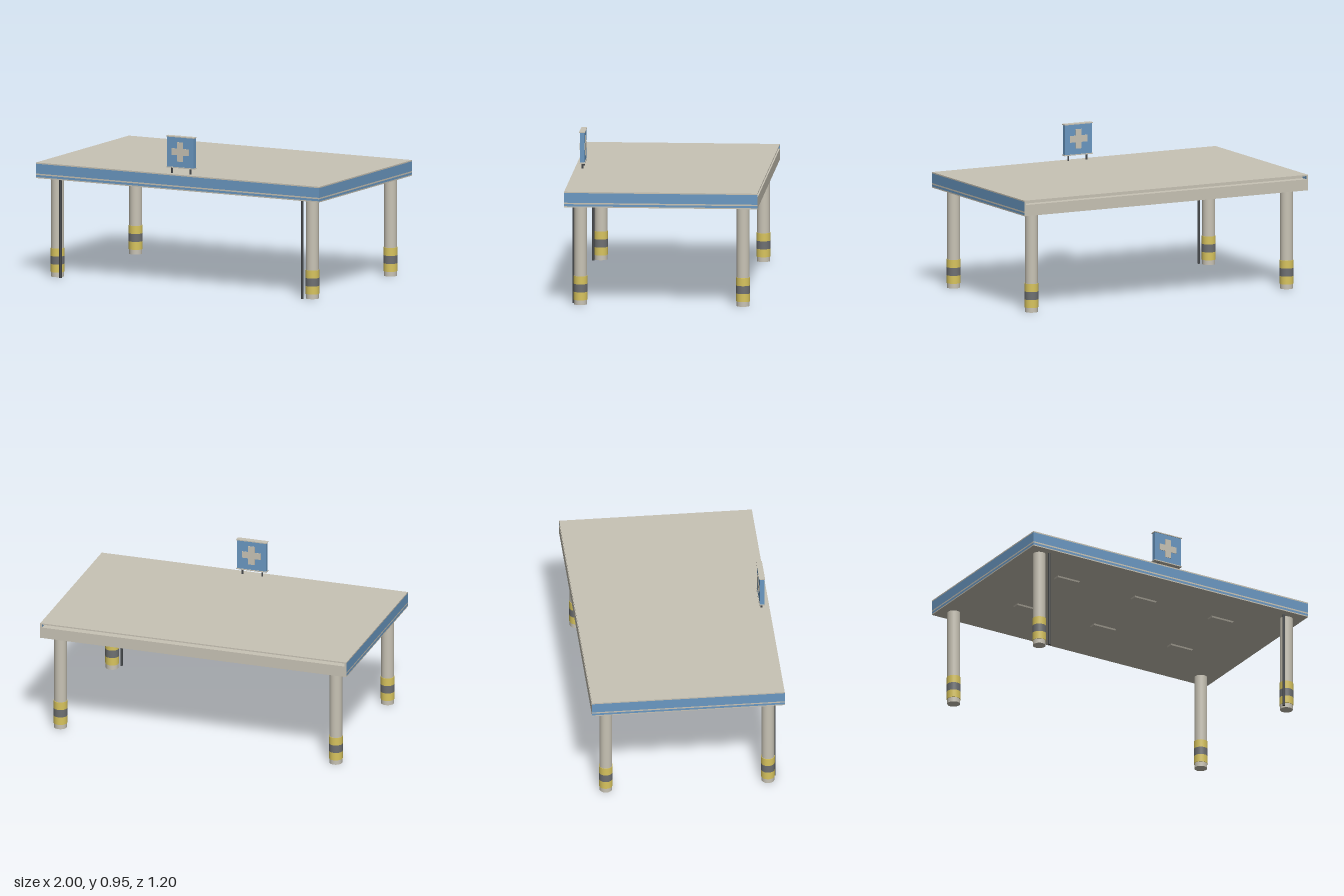
import * as THREE from 'three';

const mat = (name, color) => {
  const m = new THREE.MeshStandardMaterial({ color });
  m.name = name;
  return m;
};

export function createModel() {
  const beige = mat('beige', 0xc8c3b5);
  const blue = mat('blue', 0x6a98c2);
  const yellow = mat('yellow', 0xd8c45e);
  const grey = mat('band grey', 0x6e7072);
  const dark = mat('dark metal', 0x46494c);
  const model = new THREE.Group();
  model.name = 'canopy';

  const add = (parent, name, geometry, material, x = 0, y = 0, z = 0) => {
    const mesh = new THREE.Mesh(geometry, material);
    mesh.name = name;
    mesh.position.set(x, y, z);
    parent.add(mesh);
    return mesh;
  };
  const group = (name) => {
    const g = new THREE.Group();
    g.name = name;
    model.add(g);
    return g;
  };
  // Box given by its limits
  const box = (parent, name, material, x0, x1, y0, y1, z0, z1) =>
    add(parent, name, new THREE.BoxGeometry(x1 - x0, y1 - y0, z1 - z0), material,
      (x0 + x1) / 2, (y0 + y1) / 2, (z0 + z1) / 2);
  // Upright cylinder given by its bottom and top
  const rod = (parent, name, material, r, x, y0, y1, z, sides = 24) =>
    add(parent, name, new THREE.CylinderGeometry(r, r, y1 - y0, sides), material, x, (y0 + y1) / 2, z);

  // Roof layers: painted front and ends, plain back, top and underside
  const roof = group('roof');
  const painted = [blue, blue, beige, beige, blue, beige];
  box(roof, 'lowerTrim', beige, -1, 1, 0.622, 0.629, -0.6, 0.6);
  box(roof, 'lowerFascia', painted, -1, 1, 0.629, 0.642, -0.6, 0.6);
  box(roof, 'fasciaStripe', beige, -1, 1, 0.642, 0.651, -0.6, 0.6);
  box(roof, 'upperFascia', painted, -1, 1, 0.651, 0.692, -0.6, 0.6);
  // Upper layer leaves an open drainage slot along the back
  box(roof, 'topFascia', painted, -1, 1, 0.692, 0.712, -0.55, 0.6);
  for (const s of [-1, 1]) {
    box(roof, 'slotEnd', painted, s * 0.995 - 0.005, s * 0.995 + 0.005, 0.692, 0.712, -0.6, -0.55);
  }
  box(roof, 'roofLid', beige, -1, 1, 0.712, 0.72, -0.6, 0.6);

  // Tapered lamps under the roof
  const lampGeometry = new THREE.BoxGeometry(0.16, 0.009, 0.048);
  const p = lampGeometry.attributes.position;
  for (let i = 0; i < p.count; i++) {
    if (p.getY(i) < 0) {
      p.setX(i, p.getX(i) * 0.95);
      p.setZ(i, p.getZ(i) * 0.82);
    }
  }
  lampGeometry.computeVertexNormals();
  const lamps = group('lamps');
  for (const x of [-0.56, 0, 0.56]) {
    for (const z of [0.28, -0.2]) add(lamps, 'lamp', lampGeometry, beige, x, 0.6175, z);
  }

  // Columns with warning bands, and drainpipes beside the front pair
  for (const sx of [-1, 1]) {
    for (const z of [0.505, -0.505]) {
      const column = group(z > 0 ? 'frontColumn' : 'backColumn');
      rod(column, 'shaft', beige, 0.04, sx * 0.9, 0, 0.622, z);
      rod(column, 'lowerBand', yellow, 0.043, sx * 0.9, 0.03, 0.08, z);
      rod(column, 'middleBand', grey, 0.043, sx * 0.9, 0.08, 0.13, z);
      rod(column, 'upperBand', yellow, 0.043, sx * 0.9, 0.13, 0.18, z);
    }
    rod(model, 'drainpipe', dark, 0.008, sx * 0.854, 0, 0.622, 0.55, 12);
  }

  // Roof sign on two posts
  const sign = group('sign');
  const zs = 0.552;
  for (const s of [-1, 1]) rod(sign, 'signPost', dark, 0.006, s * 0.065, 0.72, 0.757, zs, 12);
  box(sign, 'signPanel', blue, -0.095, 0.095, 0.76, 0.948, zs - 0.014, zs + 0.014);
  box(sign, 'signBottomCap', beige, -0.099, 0.099, 0.755, 0.761, zs - 0.018, zs + 0.018);
  box(sign, 'signTopCap', beige, -0.099, 0.099, 0.948, 0.954, zs - 0.018, zs + 0.018);

  // Cross plate on both faces
  const a = 0.061, b = 0.021;
  const cross = new THREE.Shape([
    [-b, -a], [b, -a], [b, -b], [a, -b], [a, b], [b, b],
    [b, a], [-b, a], [-b, b], [-a, b], [-a, -b], [-b, -b],
  ].map(([x, y]) => new THREE.Vector2(x, y)));
  const crossGeometry = new THREE.ExtrudeGeometry(cross, { depth: 0.003, bevelEnabled: false });
  add(sign, 'frontCross', crossGeometry, beige, 0, 0.857, zs + 0.014);
  add(sign, 'backCross', crossGeometry, beige, 0, 0.857, zs - 0.014).rotation.y = Math.PI;

  return model;
}
